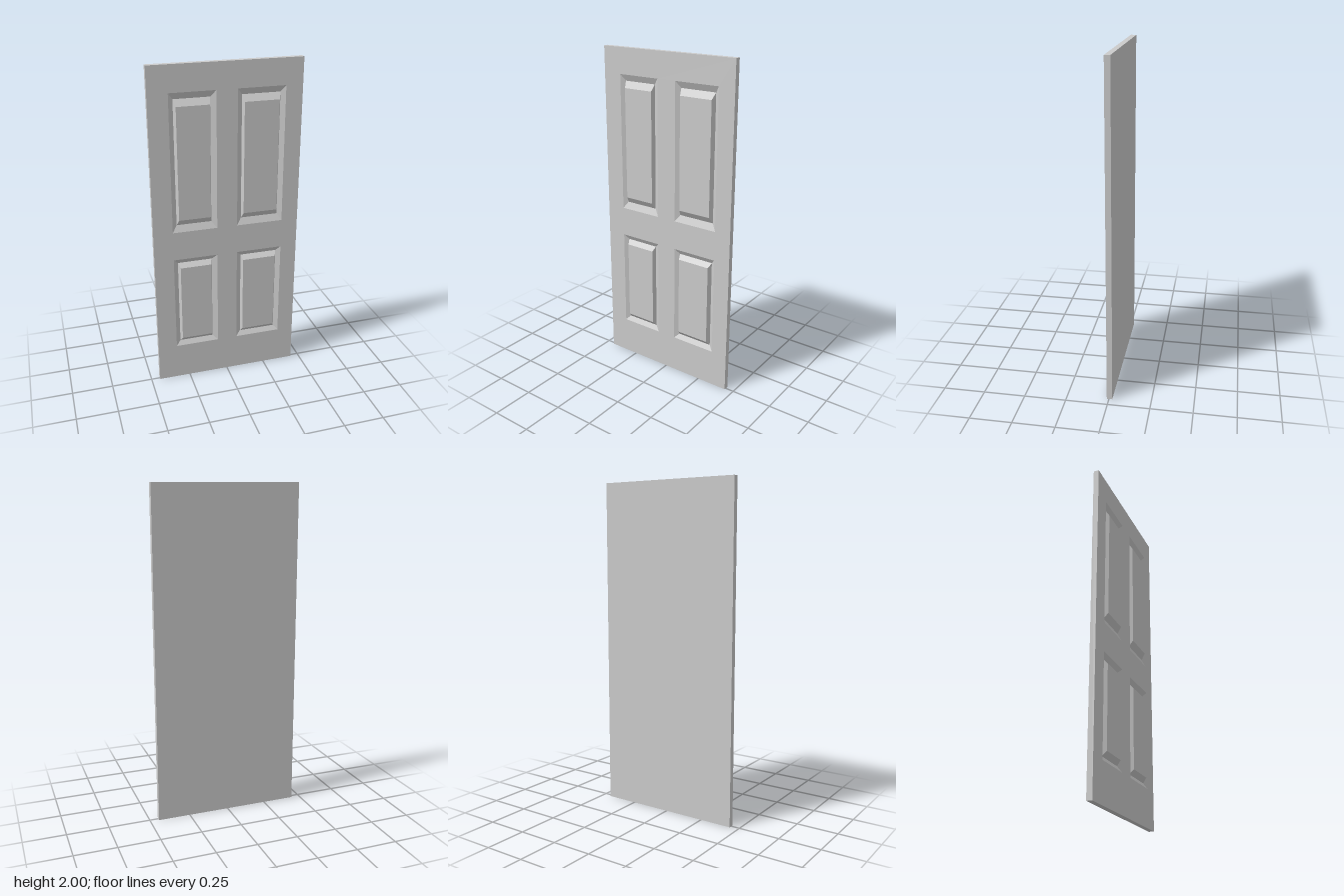
import * as THREE from 'three';

const BACK = -0.02, FACE = 0.013, GROOVE = -0.005, RAISED = 0.02;
const W = 0.893, H = 2;

const material = new THREE.MeshStandardMaterial({ color: 0xcccccc, flatShading: true });

function addMesh(parent, name, geometry) {
  const mesh = new THREE.Mesh(geometry, material);
  mesh.name = name;
  parent.add(mesh);
  return mesh;
}

// Corners of a rectangle, counter-clockwise seen from the front
const corners = ([x0, x1, y0, y1]) => [[x0, y0], [x1, y0], [x1, y1], [x0, y1]];

// Joins successive rectangles { rect, z } with flat quads; optionally caps the last one
function loftRects(steps, cap) {
  const pos = [];
  const quad = (a, b, c, d) => pos.push(...a, ...b, ...c, ...a, ...c, ...d);
  const loops = steps.map(({ rect, z }) => corners(rect).map(([x, y]) => [x, y, z]));
  for (let s = 0; s < loops.length - 1; s++) {
    const a = loops[s], b = loops[s + 1];
    for (let i = 0; i < 4; i++) {
      const j = (i + 1) % 4;
      quad(a[i], a[j], b[j], b[i]);
    }
  }
  if (cap) quad(...loops[loops.length - 1]);
  const g = new THREE.BufferGeometry();
  g.setAttribute('position', new THREE.Float32BufferAttribute(pos, 3));
  g.computeVertexNormals();
  return g;
}

export function createModel() {
  const door = new THREE.Group();
  door.name = 'door';

  // Columns and rows: [low, high] limits of the outer edge, groove and raised field
  const columns = {
    Right: { outer: [-0.33, -0.06], groove: [-0.302, -0.091], field: [-0.291, -0.1] },
    Left: { outer: [0.063, 0.346], groove: [0.092, 0.319], field: [0.101, 0.307] },
  };
  const rows = {
    upper: { outer: [1.02, 1.846], groove: [1.061, 1.808], field: [1.098, 1.77] },
    lower: { outer: [0.231, 0.841], groove: [0.26, 0.811], field: [0.289, 0.784] },
  };

  // Front face with openings for the panels
  const face = new THREE.Shape(corners([-W / 2, W / 2, 0, H]).map((p) => new THREE.Vector2(...p)));

  // Moulded panels: slope down to a groove, then up to the raised field
  for (const [rowName, row] of Object.entries(rows)) {
    for (const [colName, col] of Object.entries(columns)) {
      const rect = (key) => [...col[key], ...row[key]];
      face.holes.push(new THREE.Path(corners(rect('outer')).reverse().map((p) => new THREE.Vector2(...p))));
      addMesh(door, `${rowName}${colName}Panel`, loftRects([
        { rect: rect('outer'), z: FACE },
        { rect: rect('groove'), z: GROOVE },
        { rect: rect('field'), z: RAISED },
      ], true));
    }
  }
  addMesh(door, 'frontFace', new THREE.ShapeGeometry(face)).position.z = FACE;

  // Edges and plain back of the slab
  const slab = [-W / 2, W / 2, 0, H];
  addMesh(door, 'slabEdges', loftRects([{ rect: slab, z: BACK }, { rect: slab, z: FACE }], false));
  const back = addMesh(door, 'backFace', new THREE.PlaneGeometry(W, H));
  back.position.set(0, H / 2, BACK);
  back.rotation.y = Math.PI;

  return door;
}
